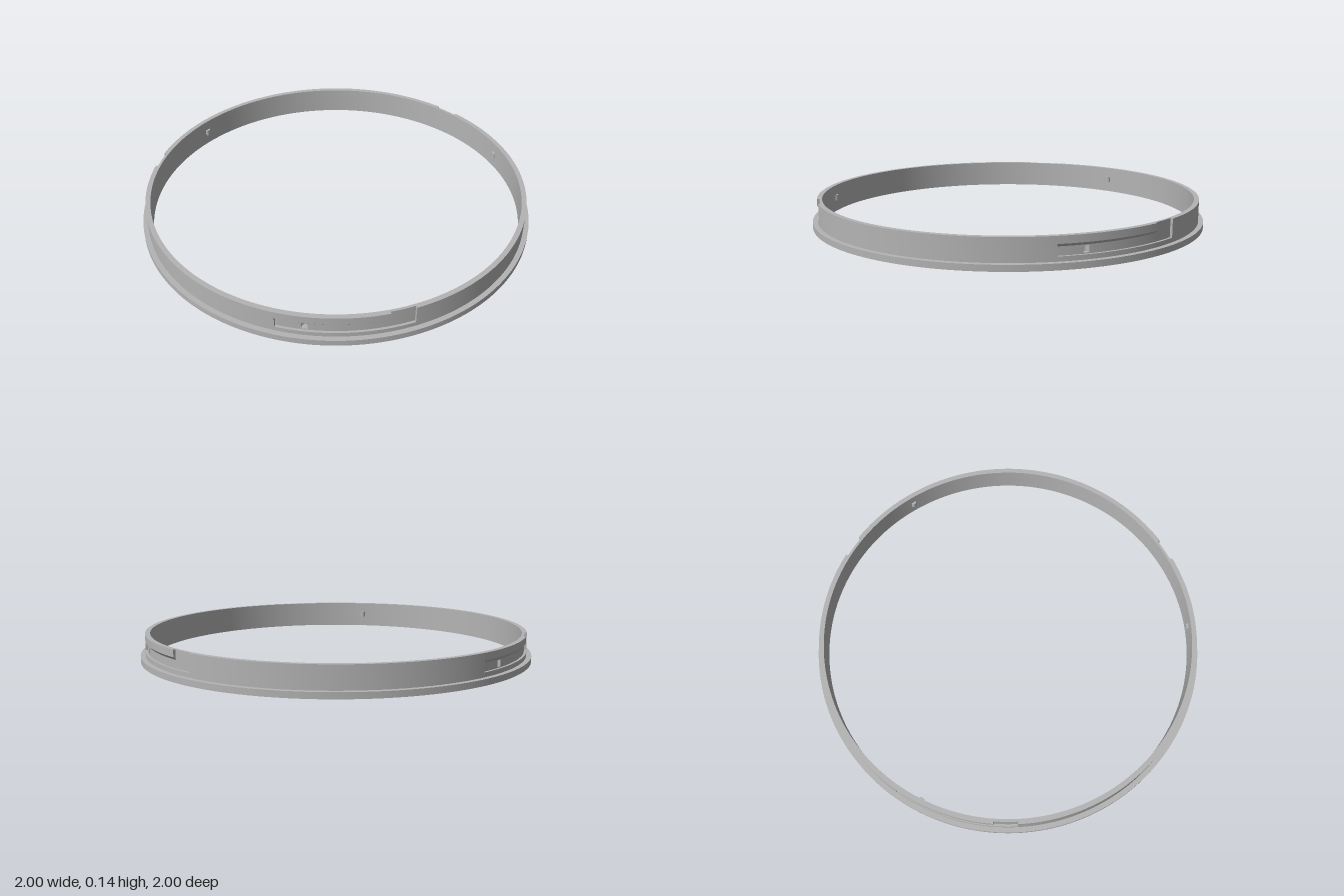
import * as THREE from 'three';
import { mergeGeometries, toCreasedNormals } from 'three/addons/utils/BufferGeometryUtils.js';

const rad = THREE.MathUtils.degToRad;
const R_IN = 0.95, R_FLOOR = 0.963, R_OUT = 0.975, R_FLANGE = 1;
const H = 0.14, H_FLANGE = 0.03;
const SLOT_BOTTOM = 0.052, SLOT_TOP = 0.092, CHAMFER_TOP = 0.105;
const DENT_BOTTOM = 0.057, DENT_TOP = 0.088, DENT_R = 0.014;

// Solid ring sector swept from a closed [radius, y] profile, with end caps.
function sector(profile, a0, a1) {
  const pts = profile.map(([r, y]) => new THREE.Vector2(r, y));
  const steps = Math.max(1, Math.ceil((a1 - a0) / 1.5));
  const sweep = new THREE.LatheGeometry([...pts, pts[0].clone()], steps, rad(a0), rad(a1 - a0));
  const parts = [toCreasedNormals(sweep, rad(30))];
  for (const a of [a0, a1]) {
    parts.push(new THREE.ShapeGeometry(new THREE.Shape(pts)).rotateY(rad(a) - Math.PI / 2).toNonIndexed());
  }
  return mergeGeometries(parts);
}

export function createModel() {
  const group = new THREE.Group();
  const grey = new THREE.MeshStandardMaterial({ color: 0xb4b4b4, side: THREE.DoubleSide });
  grey.name = 'satin grey';
  const add = (name, geometry, parent) => {
    const mesh = new THREE.Mesh(geometry, grey);
    mesh.name = name;
    parent.add(mesh);
    return mesh;
  };

  // Cross-sections, counter-clockwise from the flange's lower outer edge
  const base = [[R_FLANGE, 0], [R_FLANGE, H_FLANGE], [R_OUT, H_FLANGE]];
  const ledge = [...base, [R_OUT, SLOT_BOTTOM], [R_FLOOR, SLOT_BOTTOM]];
  const lip = [[R_FLOOR, SLOT_TOP], [R_OUT, CHAMFER_TOP], [R_OUT, H], [R_IN, H]];
  const plain = [...base, [R_OUT, H], [R_IN, H], [R_IN, 0]];
  const slot = [...ledge, ...lip, [R_IN, 0]];
  const entry = [...ledge, [R_FLOOR, H], [R_IN, H], [R_IN, 0]];
  const belowDent = [...ledge, [R_FLOOR, DENT_BOTTOM], [R_IN, DENT_BOTTOM], [R_IN, 0]];
  const aboveDent = [[R_IN, DENT_TOP], [R_FLOOR, DENT_TOP], ...lip];

  // Angles in degrees from the front towards +x
  const START = 56.4, DENT = 64.2, ARM_END = 86.5, ENTRY_END = 93.5;
  const half = THREE.MathUtils.radToDeg(DENT_R / 0.957);

  for (let i = 0; i < 3; i++) {
    const third = new THREE.Group();
    third.name = 'ringThird' + (i + 1);
    third.rotation.y = rad(120 * i);
    group.add(third);

    add('plainWall', sector(plain, ENTRY_END, START + 120), third);
    add('slotEnd', sector(slot, START, DENT - half), third);
    add('slotArm', sector(slot, DENT + half, ARM_END), third);
    add('slotEntry', sector(entry, ARM_END, ENTRY_END), third);
    add('wallBelowDetent', sector(belowDent, DENT - half, DENT + half), third);
    add('wallAboveDetent', sector(aboveDent, DENT - half, DENT + half), third);

    // Pressed detent: hollow in the slot, bulging inside the ring
    const a = rad(DENT);
    const dent = add('detent', new THREE.CylinderGeometry(
      DENT_R, DENT_R, DENT_TOP - DENT_BOTTOM, 16, 1, false, a + Math.PI / 2, Math.PI), third);
    dent.position.set(0.951 * Math.sin(a), (DENT_TOP + DENT_BOTTOM) / 2, 0.951 * Math.cos(a));
  }
  return group;
}
